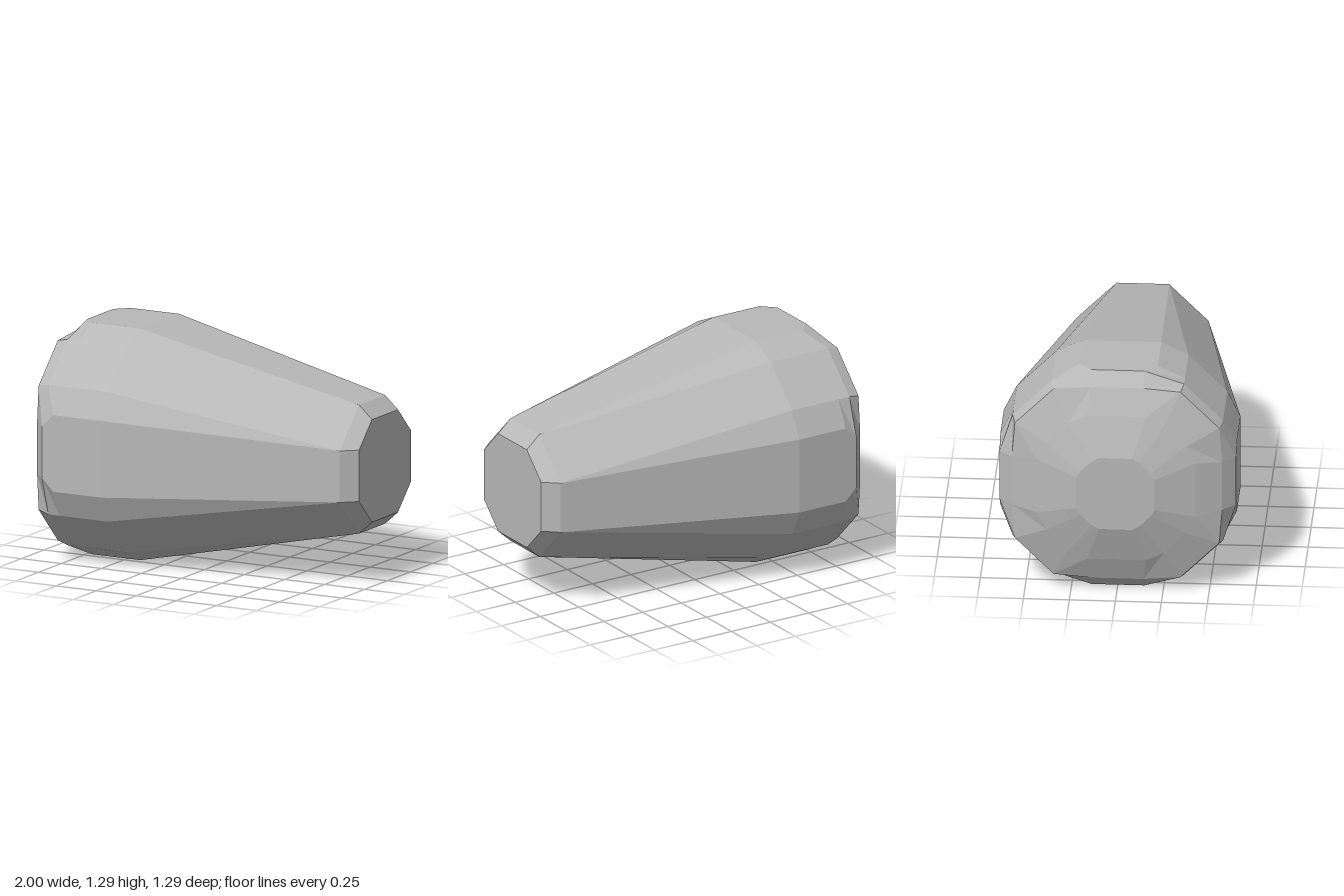
import * as THREE from 'three';

// Cross-sections along x: [x, radius, half flat, corner near, corner far, z offset]
const SECTIONS = [
  [-1.0, 0.213, 0.09, 0.13, 0.19, 0],
  [-0.925, 0.43, 0.16, 0.26, 0.38, 0],
  [-0.86, 0.572, 0.143, 0.345, 0.555, 0],
  [-0.79, 0.643, 0.143, 0.36, 0.572, 0],
  [-0.72, 0.643, 0.213, 0.36, 0.572, 0],
  [-0.42, 0.643, 0.213, 0.36, 0.572, 0],
  [0.92, 0.357, 0.143, 0.143, 0.357, 0.027],
  [1.0, 0.285, 0.143, 0.143, 0.285, 0.027],
];
const CENTRE_Y = 0.643;

// Sixteen points: one quarter, turned four times about the x axis
function ring([x, r, flat, near, far, dz]) {
  const points = [];
  let quarter = [[flat, r], [near, far], [far, near], [r, flat]];
  for (let q = 0; q < 4; q++) {
    for (const [z, y] of quarter) points.push(new THREE.Vector3(x, CENTRE_Y + y, z + dz));
    quarter = quarter.map(([z, y]) => [y, -z]);
  }
  return points;
}

// Flat-shaded skin; zero-area triangles are skipped
function skin(triangles) {
  const solid = triangles.filter(([a, b, c]) =>
    b.clone().sub(a).cross(c.clone().sub(a)).length() > 1e-7);
  const geometry = new THREE.BufferGeometry().setFromPoints(solid.flat());
  geometry.computeVertexNormals();
  return geometry;
}

export function createModel() {
  const group = new THREE.Group();
  group.name = 'taperedPlug';
  const grey = new THREE.MeshStandardMaterial({ color: 0xb8b8b8 });
  grey.name = 'grey';
  const rings = SECTIONS.map(ring);

  const add = (name, triangles) => {
    const mesh = new THREE.Mesh(skin(triangles), grey);
    mesh.name = name;
    group.add(mesh);
  };

  const sides = (from, to) => {
    const out = [];
    for (let i = from; i < to; i++) {
      for (let j = 0; j < 16; j++) {
        const k = (j + 1) % 16;
        const [a, b, c, d] = [rings[i][j], rings[i][k], rings[i + 1][k], rings[i + 1][j]];
        out.push([a, b, c], [a, c, d]);
      }
    }
    return out;
  };

  // Flat disc closing a ring
  const cap = (points, outward) => {
    const out = [];
    for (let j = 1; j < 15; j++) {
      out.push(outward > 0
        ? [points[0], points[j], points[j + 1]]
        : [points[0], points[j + 1], points[j]]);
    }
    return out;
  };

  add('domedEnd', [...cap(rings[0], -1), ...sides(0, 2)]);
  add('wideCollar', sides(2, 5));
  add('taperedBody', sides(5, 6));
  add('narrowEnd', [...sides(6, 7), ...cap(rings[7], 1)]);
  return group;
}
